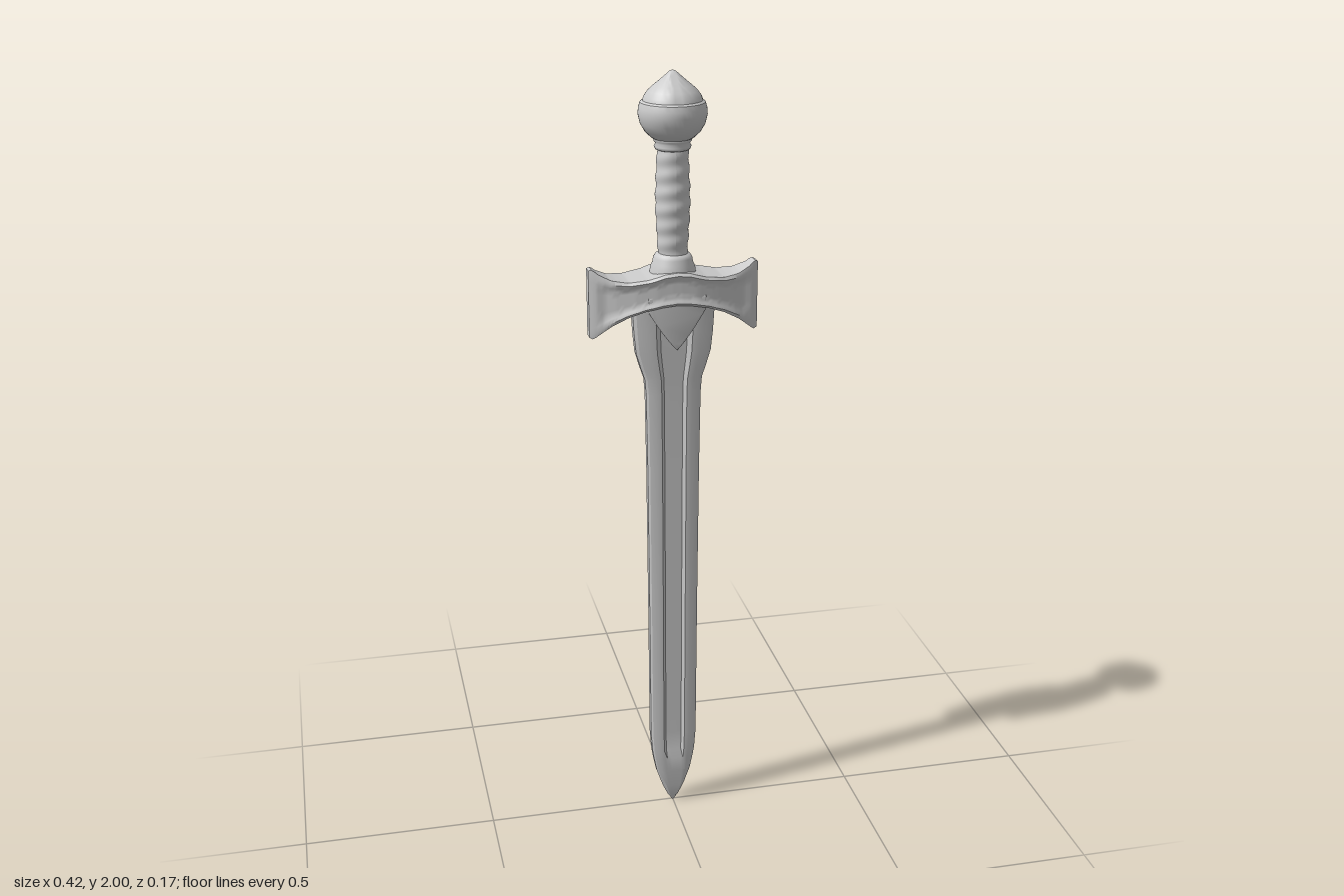
import * as THREE from 'three';
import { toCreasedNormals } from 'three/addons/utils/BufferGeometryUtils.js';

const material = new THREE.MeshStandardMaterial({ color: 0xcccccc });

function part(name, geometry, crease) {
  const mesh = new THREE.Mesh(crease ? toCreasedNormals(geometry, crease) : geometry, material);
  mesh.name = name;
  return mesh;
}

// Linear lookup in a short list of [position, value] pairs
function lookup(table, t) {
  for (let i = 1; i < table.length; i++) {
    if (t <= table[i][0]) {
      const [a, va] = table[i - 1], [b, vb] = table[i];
      return THREE.MathUtils.mapLinear(Math.max(t, a), a, b, va, vb);
    }
  }
  return table[table.length - 1][1];
}

const lathe = (points, segments = 48) =>
  new THREE.LatheGeometry(points.map(([r, y]) => new THREE.Vector2(r, y)), segments);

// Blade: lofted sections with bevelled edges and a fuller on both faces
function bladeGeometry() {
  // height, half width, half thickness, fuller depth
  const rows = [
    [0, 0.002, 0.003, 0], [0.02, 0.015, 0.009, 0], [0.05, 0.029, 0.013, 0],
    [0.1, 0.046, 0.017, 0], [0.14, 0.054, 0.019, 0], [0.165, 0.058, 0.02, 0.008],
    [0.22, 0.062, 0.02, 0.009], [0.6, 0.064, 0.02, 0.009], [1.0, 0.067, 0.02, 0.009],
    [1.2, 0.07, 0.02, 0.009], [1.24, 0.073, 0.021, 0.009], [1.27, 0.083, 0.022, 0.009],
    [1.31, 0.095, 0.023, 0.009], [1.36, 0.1, 0.024, 0.009], [1.46, 0.106, 0.025, 0.009],
  ];
  const positions = [], index = [];
  let n = 0;
  for (const [y, w, t, f] of rows) {
    const quarter = [[1, t * 0.5], [0.92, t * 0.75], [0.66, t], [0.46, t], [0.34, t - f], [0.12, t - f]];
    const half = [...quarter, ...quarter.map(([x, z]) => [-x, z]).reverse()];
    const ring = [...half, ...half.map(([x, z]) => [-x, -z])];
    n = ring.length;
    for (const [x, z] of ring) positions.push(x * w, y, z);
  }
  for (let i = 0; i < rows.length - 1; i++) {
    for (let j = 0; j < n; j++) {
      const k = (j + 1) % n, a = i * n + j, b = i * n + k, c = b + n, d = a + n;
      index.push(a, d, c, a, c, b);
    }
  }
  // Close both ends with fans
  const top = (rows.length - 1) * n;
  for (let j = 1; j < n - 1; j++) index.push(0, j, j + 1, top, top + j + 1, top + j);
  const geometry = new THREE.BufferGeometry();
  geometry.setAttribute('position', new THREE.Float32BufferAttribute(positions, 3));
  geometry.setIndex(index);
  geometry.computeVertexNormals();
  return geometry;
}

// Crossguard: a box bent into an arched bar with flared ends and sunken faces
function guardGeometry() {
  const upper = [[0, 1.525], [0.03, 1.522], [0.07, 1.51], [0.12, 1.503], [0.16, 1.508], [0.19, 1.522], [0.203, 1.533], [0.212, 1.53]];
  const lower = [[0, 1.443], [0.04, 1.439], [0.08, 1.43], [0.12, 1.415], [0.16, 1.392], [0.19, 1.368], [0.203, 1.357], [0.212, 1.362]];
  const depth = [[0, 0.068], [0.05, 0.066], [0.1, 0.057], [0.15, 0.042], [0.19, 0.025], [0.205, 0.018], [0.212, 0.014]];
  const geometry = new THREE.BoxGeometry(0.424, 1, 2, 56, 12, 8);
  const p = geometry.attributes.position;
  for (let i = 0; i < p.count; i++) {
    const x = p.getX(i), v = p.getY(i) + 0.5, s = p.getZ(i), ax = Math.abs(x);
    const edge = Math.min(v, 1 - v);
    const sunken = 0.007 * THREE.MathUtils.smoothstep(edge, 0.1, 0.25)
      * (1 - THREE.MathUtils.smoothstep(ax, 0.17, 0.195));
    const rounding = edge < 0.01 ? 0.9 : 1;
    const z = s * (lookup(depth, ax) * rounding - sunken);
    p.setXYZ(i, x, THREE.MathUtils.lerp(lookup(lower, ax), lookup(upper, ax), v), z);
  }
  geometry.computeVertexNormals();
  return geometry;
}

// Langet: pointed block under the guard, on both sides of the blade
function langetGeometry() {
  const shape = new THREE.Shape();
  shape.moveTo(-0.068, 1.46);
  shape.lineTo(-0.066, 1.43);
  shape.quadraticCurveTo(-0.035, 1.375, 0, 1.334);
  shape.quadraticCurveTo(0.035, 1.375, 0.066, 1.43);
  shape.lineTo(0.068, 1.46);
  const geometry = new THREE.ExtrudeGeometry(shape, {
    depth: 0.1, bevelThickness: 0.007, bevelSize: 0.006, bevelSegments: 3, curveSegments: 8,
  });
  return geometry.translate(0, 0, -0.05);
}

// Grip: swelling handle with a spiral wrap
function gripGeometry() {
  const profile = new THREE.SplineCurve([
    [0.035, 1.54], [0.038, 1.6], [0.042, 1.68], [0.04, 1.76], [0.036, 1.84],
  ].map(([r, y]) => new THREE.Vector2(r, y)));
  const geometry = new THREE.LatheGeometry(profile.getPoints(72), 40);
  const p = geometry.attributes.position;
  for (let i = 0; i < p.count; i++) {
    const x = p.getX(i), y = p.getY(i), z = p.getZ(i);
    const k = 1 + 0.035 * Math.sin(Math.atan2(z, x) + y * 150);
    p.setXYZ(i, x * k, y, z * k);
  }
  geometry.computeVertexNormals();
  return geometry;
}

export function createModel() {
  const sword = new THREE.Group();
  sword.name = 'sword';

  sword.add(part('blade', bladeGeometry(), 0.35));
  sword.add(part('crossguard', guardGeometry(), 0.7));
  sword.add(part('langet', langetGeometry(), 0.6));
  sword.add(part('grip', gripGeometry()));

  // Collars at both ends of the grip
  sword.add(part('lowerCollar', lathe([
    [0.058, 1.505], [0.055, 1.528], [0.05, 1.537], [0.048, 1.55], [0.043, 1.558], [0.034, 1.562],
  ])));
  sword.add(part('upperCollar', lathe([
    [0.034, 1.812], [0.042, 1.815], [0.045, 1.822], [0.041, 1.829], [0.046, 1.835], [0.047, 1.842], [0.04, 1.85],
  ])));

  // Pommel: ball with a rim line and a pointed cap
  sword.add(part('pommel', lathe([
    [0, 1.832], [0.036, 1.834], [0.052, 1.843], [0.067, 1.857], [0.078, 1.876], [0.083, 1.897],
    [0.082, 1.913], [0.078, 1.926], [0.072, 1.93], [0.069, 1.939], [0.06, 1.952], [0.047, 1.964],
    [0.032, 1.976], [0.018, 1.988], [0.008, 1.997], [0, 2],
  ]), 0.6));

  return sword;
}
